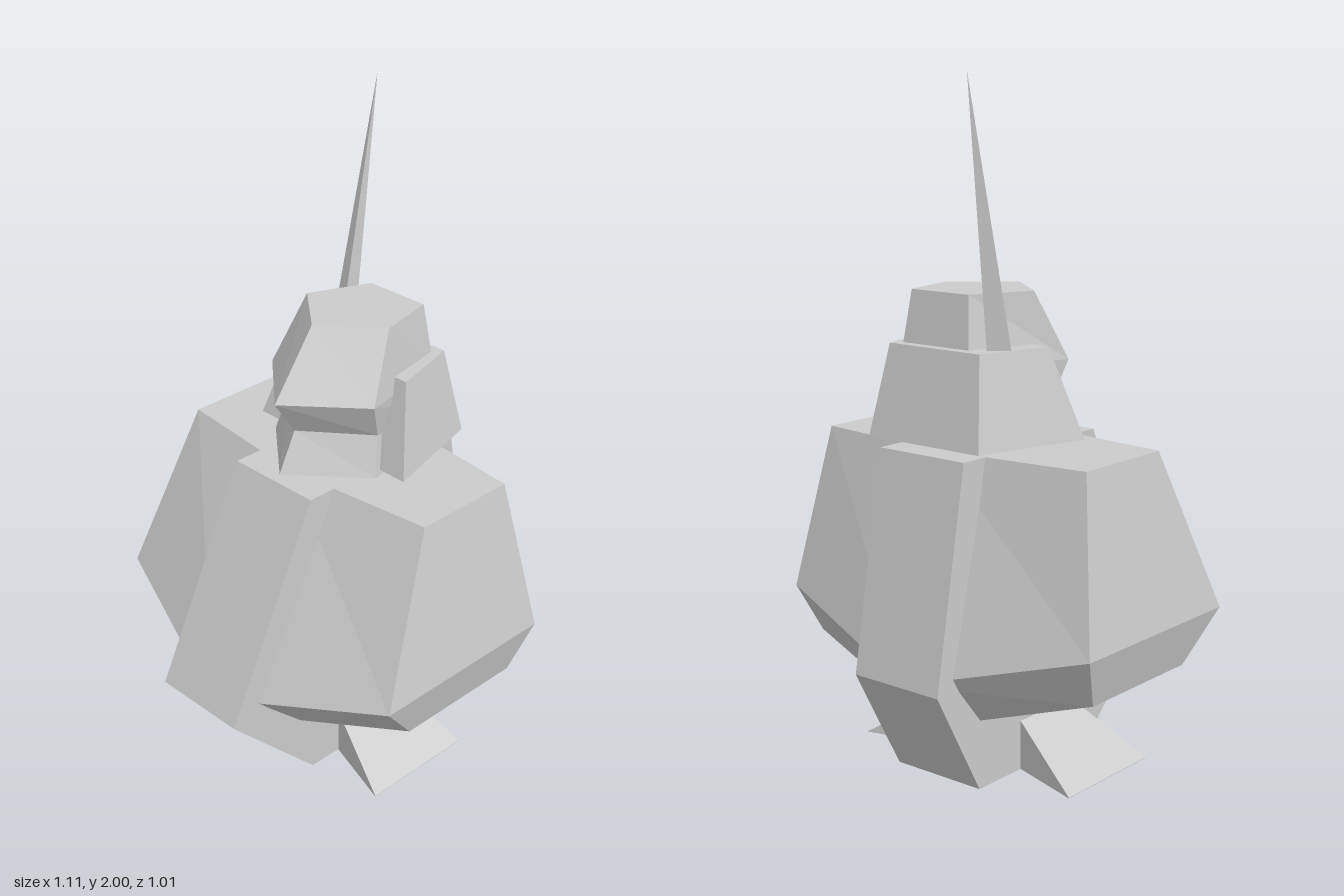
import * as THREE from 'three';

const material = new THREE.MeshStandardMaterial({ color: 0xcccccc, flatShading: true });

// Joins rings of [x, y, z] points, listed from bottom to top, each running
// along the front towards +x and then round the back.
function loft(name, rings, { bottom = true, skip = [] } = {}) {
  const n = rings[0].length;
  const index = [];
  for (let r = 0; r < rings.length - 1; r++) {
    for (let i = 0; i < n; i++) {
      const j = (i + 1) % n;
      const a = r * n + i, b = r * n + j, c = b + n, d = a + n;
      index.push(a, b, d);
      if (!skip.includes(r * n + i)) index.push(b, c, d);
    }
  }
  // End caps fan out from point 1
  const top = (rings.length - 1) * n;
  for (let k = 1; k < n - 1; k++) {
    const p = (1 + k) % n, q = (2 + k) % n;
    index.push(top + 1, top + p, top + q);
    if (bottom) index.push(1, q, p);
  }
  const geometry = new THREE.BufferGeometry();
  geometry.setAttribute('position', new THREE.Float32BufferAttribute(rings.flat(2), 3));
  geometry.setIndex(index);
  geometry.computeVertexNormals();
  const mesh = new THREE.Mesh(geometry, material);
  mesh.name = name;
  return mesh;
}

// Four-cornered ring at height y, with its own half widths front and back
const quad = (y, front, zFront, back, zBack) => [
  [-front, y, zFront], [front, y, zFront], [back, y, zBack], [-back, y, zBack],
];

// Six-cornered ring: outer corners at x, y and a centre line at yMid
const hexagon = (x, y, zFront, zBack, yMid, midFront, midBack) => [
  [-x, y, zFront], [0, yMid, midFront], [x, y, zFront],
  [x, y, zBack], [0, yMid, midBack], [-x, y, zBack],
];

// Five-cornered ring of the head, pointed at the front
const pentagon = (y, tip, side, zSide, backLeft, backRight, zBack) => [
  [-side, y, zSide], [0, y, tip], [side, y, zSide],
  [backLeft, y, zBack], [backRight, y, zBack],
];

export function createModel() {
  const model = new THREE.Group();
  model.name = 'figure';

  // Broad faceted torso with a V-shaped underside
  model.add(loft('torso', [
    hexagon(0.515, 0.32, 0.15, -0.28, 0.155, 0.28, -0.345),
    hexagon(0.555, 0.47, 0.28, -0.35, 0.315, 0.455, -0.475),
    hexagon(0.475, 0.96, 0.07, -0.265, 0.96, 0.12, -0.317),
  ]));

  // Central slab, open underneath and in part of its lower front
  const w = 0.155;
  model.add(loft('centreSlab', [
    quad(0, w, 0.19, w, -0.33),
    quad(0.32, w, 0.505, w, -0.505),
    quad(0.96, w, 0.195, w, -0.39),
  ], { bottom: false, skip: [0] }));

  // Wedge feet, widest at the outer edge
  for (const [side, name] of [[1, 'leftFoot'], [-1, 'rightFoot']]) {
    const foot = loft(name, [
      [[0, 0, 0.03], [0.39, 0, 0.155], [0.39, 0, -0.22], [0, 0, -0.12]],
      [[0, 0.245, 0.03], [0.39, 0.002, 0.155], [0.39, 0.002, -0.22], [0, 0.245, -0.12]],
    ]);
    if (side < 0) {
      foot.rotation.y = Math.PI;
      // Turned half round, so bring its depth back in line
      foot.position.z = -0.065;
    }
    model.add(foot);
  }

  // Head with brow, recessed eye band and jaw
  model.add(loft('head', [
    pentagon(0.97, 0.17, 0.21, -0.01, 0.148, -0.105, -0.29),
    pentagon(1.09, 0.11, 0.185, -0.04, 0.145, -0.105, -0.29),
    pentagon(1.2, 0.185, 0.21, 0, 0.148, -0.105, -0.31),
    pentagon(1.4, 0.04, 0.165, -0.1, 0.125, -0.085, -0.285),
  ]));

  // Tapered collar behind the head
  model.add(loft('collar', [
    quad(0.985, 0.295, -0.035, 0.203, -0.385),
    quad(1.25, 0.225, -0.11, 0.165, -0.335),
  ]));

  // Three-sided antenna rising from the collar
  const tip = [-0.16, 2, -0.375];
  model.add(loft('antenna', [
    [[-0.19, 1.25, -0.23], [-0.14, 1.25, -0.215], [-0.14, 1.25, -0.275]],
    [tip, tip, tip],
  ]));

  return model;
}
